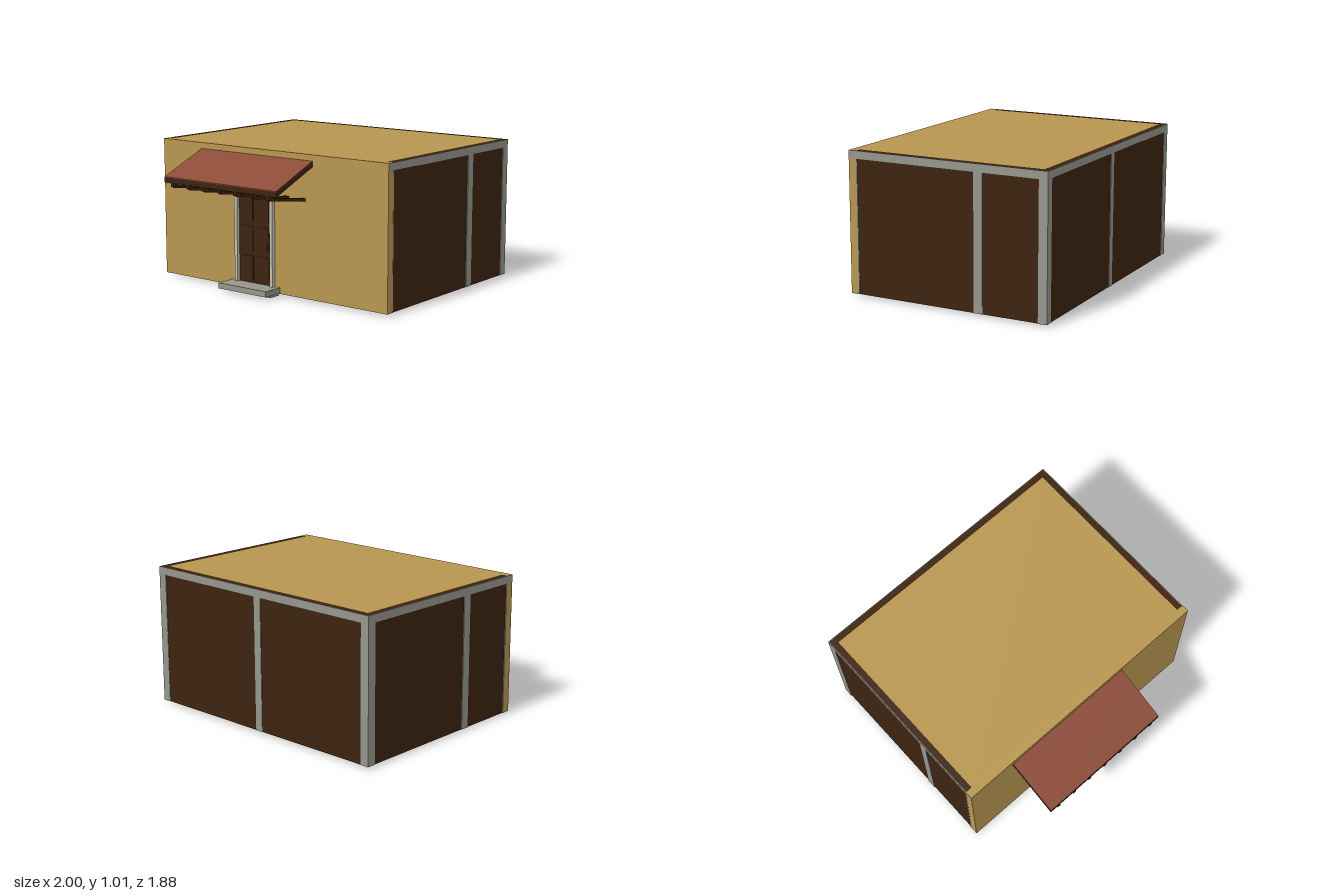
import * as THREE from 'three';

const mat = (name, color) => {
  const m = new THREE.MeshStandardMaterial({ color });
  m.name = name;
  return m;
};

export function createModel() {
  const tan = mat('tan plaster', 0xb8964f);
  const brown = mat('dark brown wood', 0x3d230f);
  const grey = mat('grey stone', 0x95968c);
  const pale = mat('pale door trim', 0xc3c2ae);
  const red = mat('red roofing', 0x8c4c38);

  const model = new THREE.Group();
  model.name = 'house';
  const group = (name, parent = model) => {
    const g = new THREE.Group();
    g.name = name;
    parent.add(g);
    return g;
  };
  // Box given by its limits along each axis
  const box = (parent, name, m, [x0, x1], [y0, y1], [z0, z1]) => {
    const mesh = new THREE.Mesh(new THREE.BoxGeometry(x1 - x0, y1 - y0, z1 - z0), m);
    mesh.position.set((x0 + x1) / 2, (y0 + y1) / 2, (z0 + z1) / 2);
    mesh.name = name;
    parent.add(mesh);
    return mesh;
  };

  const Y0 = 0.015, Y1 = 1.015, ZB = -0.94, ZF = 0.555, T = 0.004;
  const DX0 = -0.3, DX1 = 0.045, DTOP = 0.72; // door opening

  // Front wall with a door opening
  const shape = new THREE.Shape();
  [[-1, Y0], [DX0, Y0], [DX0, DTOP], [DX1, DTOP], [DX1, Y0], [1, Y0], [1, Y1], [-1, Y1]]
    .forEach(([x, y], i) => (i ? shape.lineTo(x, y) : shape.moveTo(x, y)));
  const front = new THREE.Mesh(
    new THREE.ExtrudeGeometry(shape, { depth: 0.055, bevelEnabled: false }), tan);
  front.position.z = 0.5;
  front.name = 'frontWall';
  model.add(front);

  // Roof slab between the walls
  box(model, 'roof', tan, [-0.95, 0.95], [0.96, Y1], [ZB + 0.05, 0.5]);

  // Side walls: brown panels with thin grey framing, one a half turn of the other
  const midZ = (ZB + ZF) / 2;
  for (const s of [1, -1]) {
    const side = group(s > 0 ? 'leftWall' : 'rightWall');
    const span = (a, b) => [Math.min(a, b), Math.max(a, b)];
    const flip = (z) => midZ + s * (z - midZ);
    box(side, 'sidePanel', brown, span(s * 0.95, s * (1 - T)), [Y0, Y1], [ZB + T, 0.5]);
    const strip = (name, y, a, b) =>
      box(side, name, grey, span(s * (1 - T), s * (1 + T / 4)), y, span(a, b));
    strip('topRail', [0.96, Y1], ZB, ZF);
    strip('middlePost', [Y0, 0.96], flip(-0.47), flip(-0.405));
    strip('backPost', [Y0, 0.96], ZB, ZB + 0.065);
    strip('frontPost', [Y0, 0.96], 0.49, 0.5);
  }

  // Back wall with framing
  const back = group('backWall');
  box(back, 'backPanel', brown, [-0.95, 0.95], [Y0, Y1], [ZB + T, ZB + 0.05]);
  const backStrip = (name, x, y) => box(back, name, grey, x, y, [ZB, ZB + T]);
  backStrip('topRail', [-1 + T, 1 - T], [0.96, Y1]);
  for (const x of [-0.966, 0, 0.966]) backStrip('post', [x - 0.03, x + 0.03], [Y0, 0.96]);

  // Door with raised panels in two columns and three rows
  const door = group('door');
  box(door, 'doorLeaf', brown, [-0.275, 0.02], [0.06, 0.695], [0.503, 0.56]);
  for (const x of [-0.2, -0.055])
    for (const [y0, y1] of [[0.085, 0.255], [0.295, 0.465], [0.505, 0.67]])
      box(door, 'doorPanel', brown, [x - 0.055, x + 0.055], [y0, y1], [0.56, 0.567]);
  box(door, 'doorHandle', brown, [-0.01, 0.002], [0.315, 0.365], [0.56, 0.58]);

  // Door trim, passing through the wall
  const trim = group('doorFrame');
  box(trim, 'jamb', pale, [DX0, -0.275], [0.015, DTOP], [0.495, 0.585]);
  box(trim, 'jamb', pale, [0.02, DX1], [0.015, DTOP], [0.495, 0.585]);
  box(trim, 'lintel', pale, [-0.275, 0.02], [0.695, DTOP], [0.495, 0.585]);
  box(trim, 'threshold', pale, [-0.275, 0.02], [0.015, 0.06], [0.495, 0.555]);

  // Doorstep in two slabs
  const step = group('doorstep');
  box(step, 'upperStep', grey, [-0.345, 0.09], [0.02, 0.06], [0.555, 0.71]);
  box(step, 'lowerStep', grey, [-0.33, 0.075], [0, 0.02], [0.555, 0.645]);

  // Prism across x, from a side outline in (z, y)
  const prism = (parent, name, m, x0, x1, pts) => {
    const s = new THREE.Shape(pts.map(([z, y]) => new THREE.Vector2(-z, y)));
    const geo = new THREE.ExtrudeGeometry(s, { depth: x1 - x0, bevelEnabled: false });
    geo.rotateY(Math.PI / 2);
    const mesh = new THREE.Mesh(geo, m);
    mesh.position.x = x0;
    mesh.name = name;
    parent.add(mesh);
  };

  // Sloping awning with rafters and struts
  const awning = group('awning');
  const AX0 = -0.63, AX1 = 0.375;
  prism(awning, 'awningSlab', brown, AX0, AX1,
    [[0.555, 0.967], [0.935, 0.812], [0.935, 0.775], [0.555, 0.93]]);
  prism(awning, 'awningRoofing', red, AX0, AX1,
    [[0.555, 0.972], [0.936, 0.817], [0.936, 0.812], [0.555, 0.967]]);
  for (let i = 0; i < 7; i++) {
    const x = -0.555 + i * 0.143;
    prism(awning, 'rafter', brown, x - 0.012, x + 0.012,
      [[0.555, 0.93], [0.937, 0.776], [0.937, 0.75], [0.915, 0.75], [0.555, 0.897]]);
    prism(awning, 'strut', brown, x - 0.012, x + 0.012,
      [[0.555, 0.713], [0.92, 0.762], [0.92, 0.742], [0.555, 0.692]]);
  }

  return model;
}
